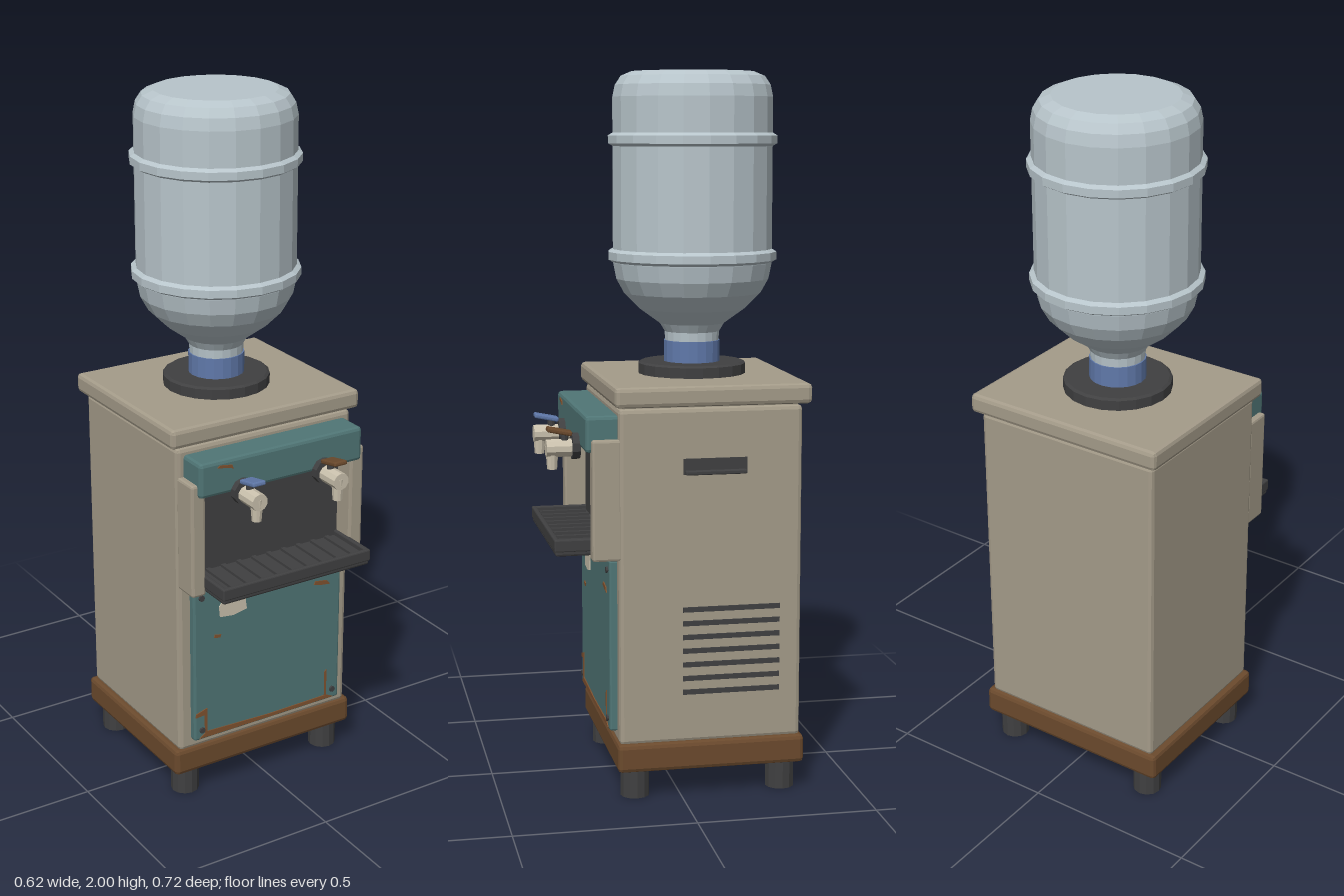
import * as THREE from 'three';
import { RoundedBoxGeometry } from 'three/addons/geometries/RoundedBoxGeometry.js';

const mat = (name, color) => {
  const m = new THREE.MeshStandardMaterial({ color });
  m.name = name;
  return m;
};

export function createModel() {
  const root = new THREE.Group();
  root.name = 'waterDispenser';
  const beige = mat('beigeCabinet', 0xa49b89);
  const teal = mat('tealPanel', 0x507676);
  const dark = mat('darkPlastic', 0x404041);
  const brown = mat('brownBase', 0x6b4a2d);
  const rust = mat('rust', 0x80522f);
  const blue = mat('blueCap', 0x6079aa);
  const cream = mat('creamTap', 0xcbc2ae);
  const bottleMat = mat('bottlePlastic', 0xb8c5cb);

  // Facet a geometry for the low-poly look
  const facet = (g) => {
    const f = g.index ? g.toNonIndexed() : g;
    f.computeVertexNormals();
    return f;
  };
  const add = (name, geo, material, x = 0, y = 0, z = 0, parent = root) => {
    const m = new THREE.Mesh(facet(geo), material);
    m.name = name;
    m.position.set(x, y, z);
    parent.add(m);
    return m;
  };
  // Box given by its limits, with optional chamfered edges
  const box = (name, material, [x0, x1], [y0, y1], [z0, z1], bevel = 0, parent = root) => {
    const s = [x1 - x0, y1 - y0, z1 - z0];
    const g = bevel ? new RoundedBoxGeometry(...s, 1, bevel) : new THREE.BoxGeometry(...s);
    return add(name, g, material, (x0 + x1) / 2, (y0 + y1) / 2, (z0 + z1) / 2, parent);
  };
  const lathe = (name, material, pts, y = 0) =>
    add(name, new THREE.LatheGeometry(pts.map((p) => new THREE.Vector2(...p)), 20), material, 0, y, -0.087);

  // Cabinet
  box('base', brown, [-0.303, 0.303], [0.08, 0.16], [-0.348, 0.181], 0.012);
  box('cabinet', beige, [-0.287, 0.287], [0.155, 1.095], [-0.339, 0.174], 0.012);
  box('lid', beige, [-0.308, 0.308], [1.1, 1.156], [-0.361, 0.187], 0.012);
  box('lidSeam', beige, [-0.275, 0.275], [1.08, 1.11], [-0.325, 0.162]);
  for (const x of [-0.243, 0.243]) for (const z of [0.125, -0.292])
    add('foot', new THREE.CylinderGeometry(0.041, 0.041, 0.085, 12), dark, x, 0.0425, z);

  // Bottle, cap and seat collar
  lathe('bottleSeat', dark, [[0, 1.15], [0.153, 1.15], [0.153, 1.185], [0.145, 1.19], [0, 1.19]]);
  lathe('bottleCap', blue, [[0, 1.185], [0.08, 1.185], [0.08, 1.25], [0, 1.25]]);
  lathe('bottle', bottleMat, [
    [0.076, 1.24], [0.078, 1.275], [0.092, 1.298], [0.15, 1.34], [0.195, 1.385], [0.217, 1.425],
    [0.226, 1.47], [0.226, 1.93], [0.219, 1.963], [0.203, 1.987], [0.172, 2], [0, 2]]);
  for (const y of [1.49, 1.813])
    lathe('bottleRing', bottleMat, [[0.222, -0.021], [0.239, -0.011], [0.239, 0.011], [0.222, 0.021]], y);

  // Dispensing bay: header, cheeks and back panel
  box('header', teal, [-0.266, 0.266], [0.975, 1.076], [0.165, 0.262], 0.01);
  box('bayBack', dark, [-0.243, 0.243], [0.685, 0.99], [0.165, 0.184]);
  for (const s of [-1, 1]) {
    const lim = s < 0 ? [-0.284, -0.24] : [0.24, 0.284];
    box('bayCheek', beige, lim, [0.677, 1.012], [0.165, 0.247], 0.007);
  }

  // Drip tray with rim and grille ribs
  const tray = new THREE.Group();
  tray.name = 'dripTray';
  root.add(tray);
  box('trayFloor', dark, [-0.243, 0.243], [0.688, 0.72], [0.175, 0.343], 0.006, tray);
  box('trayFrontRim', dark, [-0.245, 0.245], [0.7, 0.735], [0.332, 0.346], 0.004, tray);
  for (const x of [-0.238, 0.238])
    box('traySideRim', dark, [x - 0.007, x + 0.007], [0.7, 0.735], [0.18, 0.34], 0.004, tray);
  for (let i = -4; i <= 4; i++)
    box('trayRib', dark, [i * 0.05 - 0.007, i * 0.05 + 0.007], [0.715, 0.728], [0.19, 0.328], 0, tray);

  // Taps with coloured levers
  for (const [x, lever, label] of [[-0.133, blue, 'coldTap'], [0.133, brown, 'hotTap']]) {
    const tap = new THREE.Group();
    tap.name = label;
    tap.position.set(x, 0.971, 0);
    root.add(tap);
    add('tapCollar', new THREE.CylinderGeometry(0.037, 0.037, 0.022, 10), dark, 0, 0.005, 0.27, tap).rotation.x = Math.PI / 2;
    add('tapBody', new THREE.CylinderGeometry(0.025, 0.025, 0.08, 10), cream, 0, 0, 0.312, tap).rotation.x = Math.PI / 2;
    add('tapSpout', new THREE.CylinderGeometry(0.019, 0.014, 0.065, 10), cream, 0, -0.026, 0.335, tap);
    add('leverStem', new THREE.CylinderGeometry(0.011, 0.011, 0.034, 8), dark, 0, 0.028, 0.3, tap);
    add('lever', new RoundedBoxGeometry(0.042, 0.013, 0.07, 1, 0.004), lever, 0, 0.047, 0.315, tap).rotation.x = -0.2;
  }

  // Front door with corner screws
  box('door', teal, [-0.25, 0.25], [0.188, 0.672], [0.168, 0.196], 0.006);
  for (const x of [-0.226, 0.226]) for (const y of [0.22, 0.643])
    add('doorScrew', new THREE.CylinderGeometry(0.009, 0.009, 0.008, 8), dark, x, y, 0.198).rotation.x = Math.PI / 2;

  // Thin painted patches
  const patch = (name, material, z, pts) => {
    const shape = new THREE.Shape(pts.map((p) => new THREE.Vector2(...p)));
    add(name, new THREE.ExtrudeGeometry(shape, { depth: 0.004, bevelEnabled: false }), material, 0, 0, z);
  };
  const door = 0.195;
  patch('sticker', cream, door, [[-0.165, 0.568], [-0.12, 0.563], [-0.076, 0.572], [-0.08, 0.6], [-0.074, 0.627], [-0.155, 0.62], [-0.168, 0.6]]);
  patch('rustPatch', rust, door, [[0.155, 0.584], [0.18, 0.578], [0.212, 0.574], [0.2, 0.588], [0.16, 0.594]]);
  patch('rustPatch', rust, door, [[-0.185, 0.508], [-0.165, 0.503], [-0.162, 0.512], [-0.182, 0.516]]);
  patch('rustPatch', rust, door, [[-0.247, 0.265], [-0.218, 0.268], [-0.216, 0.2], [-0.209, 0.2], [-0.209, 0.288], [-0.245, 0.277]]);
  patch('rustPatch', rust, door, [[0.199, 0.2], [0.205, 0.2], [0.205, 0.293], [0.199, 0.285]]);
  patch('rustStrip', rust, door, [[-0.235, 0.194], [0.23, 0.194], [0.205, 0.206], [0, 0.204], [-0.21, 0.212]]);
  patch('rustPatch', rust, 0.261, [[-0.212, 1.058], [-0.18, 1.052], [-0.162, 1.047], [-0.166, 1.058], [-0.205, 1.064]]);

  // Side grip and louvres on the left side
  box('gripRecess', dark, [0.28, 0.291], [0.912, 0.956], [-0.182, -0.004]);
  box('gripLip', dark, [0.285, 0.305], [0.912, 0.924], [-0.178, -0.008], 0.003);
  for (let i = 0; i < 7; i++) {
    const y = 0.3 + i * 0.039;
    box('louvre', dark, [0.28, 0.291], [y - 0.007, y + 0.007], [-0.277, -0.003]);
  }
  return root;
}
